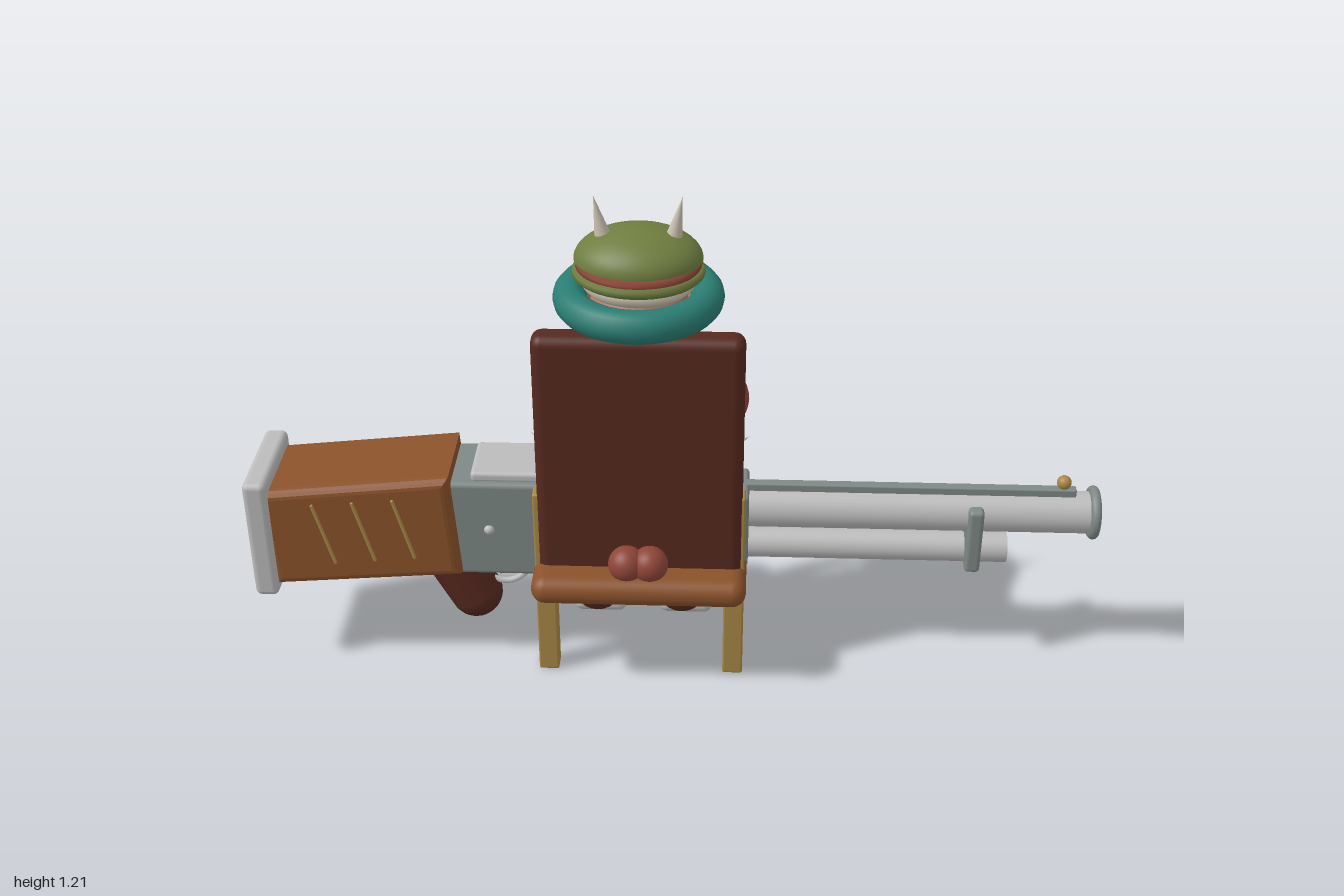
import * as THREE from 'three';
import { RoundedBoxGeometry } from 'three/addons/geometries/RoundedBoxGeometry.js';

const mat = (name, color) => new THREE.MeshStandardMaterial({ name, color });

export function createModel() {
  const root = new THREE.Group();
  root.name = 'seatedGunner';
  const M = {
    steel: mat('light steel', 0xbcbcbd), metal: mat('grey metal', 0x7e8986),
    dark: mat('dark brown', 0x56291f), wood: mat('wood', 0x8a522a),
    gold: mat('gold', 0xaa8846), teal: mat('teal', 0x2a7d73),
    red: mat('red', 0x8e4538), skin: mat('skin', 0xa97761),
    green: mat('green', 0x6f7e40), bone: mat('bone', 0xcac1b0),
  };
  const CX = -0.08, GZ = 0.035; // figure centre line, gun centre line

  const add = (parent, name, geo, m, x = 0, y = 0, z = 0) => {
    const mesh = new THREE.Mesh(geo, m);
    mesh.name = name;
    mesh.position.set(x, y, z);
    parent.add(mesh);
    return mesh;
  };
  // Rounded box given by its limits on each axis
  const box = (parent, name, m, x0, x1, y0, y1, z0, z1, r = 0.01) =>
    add(parent, name, new RoundedBoxGeometry(x1 - x0, y1 - y0, z1 - z0, 3, r), m,
      (x0 + x1) / 2, (y0 + y1) / 2, (z0 + z1) / 2);
  const ball = (parent, name, m, r, x, y, z, sx = 1, sy = 1, sz = 1) => {
    const s = add(parent, name, new THREE.SphereGeometry(r, 28, 18), m, x, y, z);
    s.scale.set(sx, sy, sz);
    return s;
  };
  // Cylinder lying along x
  const rod = (parent, name, m, r, x0, x1, y, z) => {
    const c = add(parent, name, new THREE.CylinderGeometry(r, r, x1 - x0, 32), m, (x0 + x1) / 2, y, z);
    c.rotation.z = Math.PI / 2;
    return c;
  };
  const capsule = (parent, name, m, r, a, b) => {
    const p = new THREE.Vector3(...a), q = new THREE.Vector3(...b), d = q.clone().sub(p);
    const c = add(parent, name, new THREE.CapsuleGeometry(r, d.length(), 8, 24), m);
    c.position.copy(p).add(q).multiplyScalar(0.5);
    c.quaternion.setFromUnitVectors(new THREE.Vector3(0, 1, 0), d.normalize());
    return c;
  };
  const group = (name) => {
    const g = new THREE.Group();
    g.name = name;
    root.add(g);
    return g;
  };

  // ---- Gun ----
  const gun = group('gun');
  rod(gun, 'barrel', M.steel, 0.05, 0, 0.985, 0.412, GZ);
  const ring = add(gun, 'muzzleRing', new THREE.TorusGeometry(0.052, 0.012, 12, 36), M.metal, 0.985, 0.412, GZ);
  ring.rotation.y = Math.PI / 2;
  rod(gun, 'magazineTube', M.steel, 0.037, 0, 0.79, 0.309, GZ);
  box(gun, 'barrelRib', M.metal, 0, 0.94, 0.45, 0.479, GZ - 0.012, GZ + 0.012, 0.004);
  ball(gun, 'frontSight', M.gold, 0.017, 0.91, 0.494, GZ);
  box(gun, 'barrelBand', M.metal, 0.688, 0.724, 0.275, 0.445, GZ - 0.068, GZ + 0.066);
  box(gun, 'foreBlock', M.metal, 0.05, 0.175, 0.28, 0.478, -0.03, 0.105);
  box(gun, 'receiver', M.metal, -0.53, 0.1, 0.25, 0.505, -0.075, 0.115, 0.012);
  box(gun, 'topPlate', M.steel, -0.475, -0.19, 0.5, 0.527, -0.045, 0.1);
  box(gun, 'sideRail', M.steel, -0.26, 0.11, 0.375, 0.412, -0.105, -0.04);
  ball(gun, 'receiverPin', M.steel, 0.012, -0.435, 0.38, 0.115);

  // Tapered butt stock with softened edges
  const outline = new THREE.Shape();
  outline.moveTo(-0.935, 0.245);
  outline.lineTo(-0.525, 0.28);
  outline.lineTo(-0.54, 0.51);
  outline.lineTo(-0.95, 0.465);
  outline.closePath();
  add(gun, 'stock', new THREE.ExtrudeGeometry(outline, {
    depth: 0.185, bevelEnabled: true, bevelSize: 0.02, bevelThickness: 0.025, bevelSegments: 4,
  }), M.wood, 0, 0, -0.065);
  for (let i = 0; i < 3; i++) {
    const groove = box(gun, 'stockInlay', M.gold, -0.004, 0.004, -0.085, 0.085, -0.004, 0.004, 0.003);
    groove.position.set(-0.822 + i * 0.095, 0.377 + i * 0.009, 0.146);
    groove.rotation.z = 0.26;
  }
  box(gun, 'buttPlate', M.steel, -1, -0.944, 0.203, 0.517, -0.1, 0.16, 0.015);
  capsule(gun, 'grip', M.dark, 0.064, [-0.488, 0.145, GZ], [-0.575, 0.31, GZ]);
  const guard = add(gun, 'triggerGuard', new THREE.TorusGeometry(0.062, 0.008, 8, 28, Math.PI), M.steel, -0.415, 0.24, GZ);
  guard.rotation.z = Math.PI;
  capsule(gun, 'trigger', M.steel, 0.007, [-0.41, 0.26, GZ], [-0.425, 0.205, GZ]);

  // ---- Chair ----
  const chair = group('chair');
  box(chair, 'seat', M.wood, -0.33, 0.172, 0.25, 0.32, -0.185, 0.246, 0.034);
  box(chair, 'backrest', M.dark, -0.315, 0.16, 0.28, 0.92, 0.1, 0.17, 0.025);
  for (const x of [-0.302, 0.143])
    box(chair, 'chairPost', M.gold, x - 0.024, x + 0.024, 0, 0.505, 0.106, 0.154, 0.005);

  // ---- Figure, facing -z ----
  const body = group('figure');
  const profile = [[0, 0.3], [0.2, 0.3], [0.205, 0.36], [0.19, 0.5], [0.165, 0.64], [0.13, 0.75], [0.1, 0.81], [0, 0.83]];
  const torso = add(body, 'torso', new THREE.LatheGeometry(
    new THREE.SplineCurve(profile.slice(1, 7).map(p => new THREE.Vector2(...p))).getPoints(24), 40), M.teal, CX, 0, GZ);
  torso.scale.z = 0.58;
  ball(body, 'vest', M.dark, 0.1, CX, 0.645, -0.015, 1.15, 1.65, 0.55);
  for (let i = 0; i < 4; i++)
    ball(body, 'button', M.bone, 0.011, CX, 0.74 - i * 0.06, -0.07 - (i % 3 ? 0.004 : 0));

  for (const s of [-1, 1]) {
    const lapel = box(body, 'lapel', M.red, -0.055, 0.055, -0.16, 0.16, -0.011, 0.011, 0.006);
    lapel.position.set(CX + s * 0.098, 0.645, -0.078);
    lapel.rotation.set(-0.04, s * -0.2, s * 0.09);
    ball(body, 'shoulder', M.red, 0.077, CX + s * 0.173, 0.7, 0.027);
    const spike = add(body, 'elbowSpike', new THREE.ConeGeometry(0.02, 0.09, 16), M.bone, CX + s * 0.215, 0.597, 0.066);
    spike.rotation.z = -s * 1.0;
    ball(body, 'hand', M.red, 0.043, CX + s * 0.027, 0.344, 0.19);
    capsule(body, 'leg', M.dark, 0.06, [CX + s * 0.1, 0.24, 0.13], [CX + s * 0.1, 0.19, -0.01]);
    box(body, 'boot', M.steel, CX + s * 0.105 - 0.066, CX + s * 0.105 + 0.066, 0.08, 0.2, -0.245, 0.03, 0.022);
  }

  // Head and face
  const head = group('head');
  ball(head, 'skull', M.skin, 0.115, CX, 0.91, 0.03, 1.05, 0.98, 0.97);
  add(head, 'neck', new THREE.CylinderGeometry(0.08, 0.09, 0.08, 28), M.skin, CX, 0.815, 0.035);
  ball(head, 'jaw', M.skin, 0.06, CX, 0.87, -0.05, 1.25, 1, 0.72);
  ball(head, 'nose', M.skin, 0.02, CX, 0.921, -0.115);
  box(head, 'mouth', M.dark, CX - 0.045, CX + 0.045, 0.859, 0.872, -0.1, -0.082, 0.004);
  for (const s of [-1, 1]) {
    ball(head, 'ear', M.skin, 0.045, CX + s * 0.122, 0.93, 0.028, 0.4, 1.05, 0.5);
    ball(head, 'cheek', M.skin, 0.038, CX + s * 0.05, 0.905, -0.062, 1, 0.9, 0.7);
    [[0.925, 0.009], [0.887, 0.013], [0.845, 0.018]].forEach(([y, r]) =>
      ball(head, 'earBead', M.teal, r, CX + s * 0.13, y, 0.024));
  }

  // Layered hat
  const hat = group('hat');
  const brim = add(hat, 'brim', new THREE.TorusGeometry(0.153, 0.038, 14, 48), M.teal, CX, 0.973, 0.052);
  brim.rotation.x = Math.PI / 2;
  const layer = (name, m, r, h, y, tilt = 0) => {
    const pts = [[0, -h / 2], [r - h / 3, -h / 2], [r, -h / 5], [r, h / 5], [r - h / 3, h / 2], [0, h / 2]];
    const l = add(hat, name, new THREE.LatheGeometry(pts.map(p => new THREE.Vector2(...p)), 40), m, CX, y, 0.043);
    l.scale.z = 0.88;
    l.rotation.x = tilt;
  };
  layer('hatLining', M.bone, 0.125, 0.04, 1.006);
  layer('lowerBun', M.green, 0.147, 0.026, 1.031);
  layer('hatBand', M.red, 0.14, 0.024, 1.052, 0.06);
  const dome = add(hat, 'upperBun', new THREE.SphereGeometry(0.143, 40, 16, 0, Math.PI * 2, 0, Math.PI / 2), M.green, CX, 1.06, 0.043);
  dome.scale.set(1, 0.5, 0.82);
  const visor = box(hat, 'visor', M.red, CX - 0.09, CX + 0.09, 1.031, 1.05, -0.148, -0.05, 0.007);
  visor.rotation.x = -0.03;
  for (const s of [-1, 1]) {
    const horn = add(hat, 'horn', new THREE.ConeGeometry(0.021, 0.108, 20), M.bone, CX + s * 0.086, 1.153, 0.043);
    horn.rotation.z = -s * 0.2;
  }
  return root;
}
